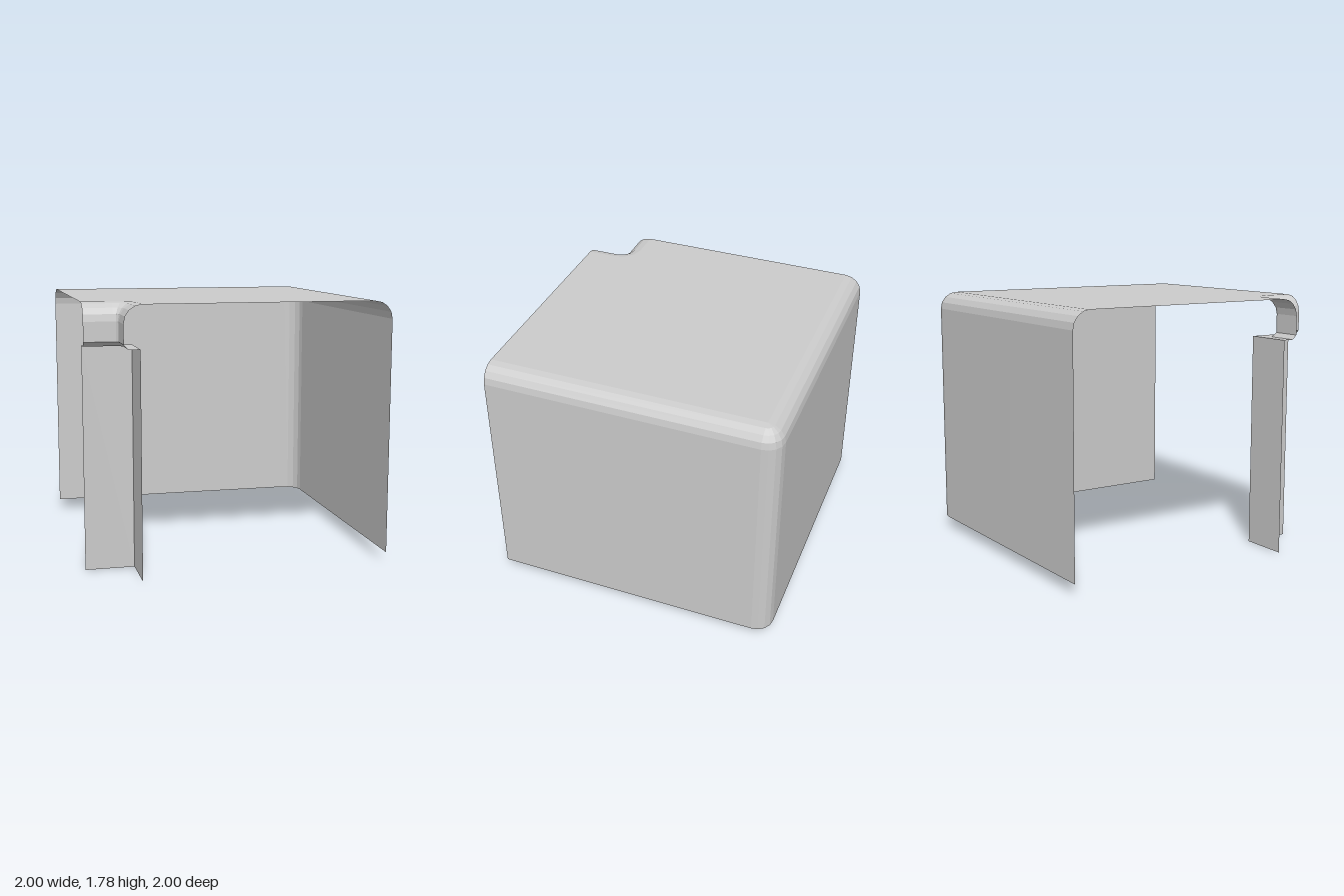
import * as THREE from 'three';

const R = 0.12, TOP = 1.78, BASE = 0.08, STEPS = 4;
const NOTCH = -0.805, NOTCH_R = 0.03; // fillet centre (x, and -z) and radius of the notch corner
const POST = 0.67;

const material = new THREE.MeshStandardMaterial({
  color: 0xcccccc, flatShading: true, side: THREE.DoubleSide,
});

// Quarter round from a vertical wall into the top: [offset, height] pairs
const roundOver = () => Array.from({ length: STEPS + 1 }, (_, i) => {
  const a = (i / STEPS) * Math.PI / 2;
  return [R * (1 - Math.cos(a)), TOP - R + R * Math.sin(a)];
});

// Plan path of the outer walls, pulled inward by d: [x, z] pairs
function outerPath(d) {
  const path = [[1 - d, 1]];
  for (let i = 0; i <= STEPS; i++) {
    const a = (i / STEPS) * Math.PI / 2;
    path.push([1 - R + (R - d) * Math.cos(a), -1 + R - (R - d) * Math.sin(a)]);
  }
  path.push([-1, -1 + d]);
  return path;
}

// Plan path round the notch, pushed into the body by d
function notchPath(d) {
  const path = [[NOTCH + NOTCH_R + d, 1]];
  for (let i = 0; i <= 3; i++) {
    const a = (i / 3) * Math.PI / 2, r = NOTCH_R + d;
    path.push([NOTCH + r * Math.cos(a), -NOTCH - r * Math.sin(a)]);
  }
  path.push([-1, -NOTCH - NOTCH_R - d]);
  return path;
}

// Sharp L-shaped path of the corner post, with the corner repeated n times
const postPath = (n) => [[-POST, 1], ...Array(n).fill([-POST, POST]), [-1, POST]];

// Skin between successive rings, leaving out collapsed triangles
function loft(rings) {
  const pos = [];
  const tri = (...p) => {
    const t = new THREE.Triangle(...p);
    if (t.getArea() > 1e-8) p.forEach((v) => pos.push(v.x, v.y, v.z));
  };
  for (let i = 0; i < rings.length - 1; i++) {
    for (let j = 0; j < rings[i].length - 1; j++) {
      const a = rings[i][j], b = rings[i][j + 1], c = rings[i + 1][j + 1], d = rings[i + 1][j];
      tri(a, b, c);
      tri(a, c, d);
    }
  }
  const geo = new THREE.BufferGeometry();
  geo.setAttribute('position', new THREE.Float32BufferAttribute(pos, 3));
  geo.computeVertexNormals();
  return geo;
}

const ring = (path, y) => path.map(([x, z]) => new THREE.Vector3(x, y, z));

export function createModel() {
  const group = new THREE.Group();
  const add = (name, geo) => {
    const mesh = new THREE.Mesh(geo, material);
    mesh.name = name;
    group.add(mesh);
  };

  // Side and back walls with rounded corner and rounded top edge
  add('outerWalls', loft([[0, BASE], ...roundOver()].map(([d, y]) => ring(outerPath(d), y))));

  // Flat top with the corner cut away
  const outline = [[1 - R, 1], [1 - R, -1 + R], [-1, -1 + R], ...notchPath(R).reverse()];
  const top = new THREE.ShapeGeometry(
    new THREE.Shape(outline.map(([x, z]) => new THREE.Vector2(x, -z))));
  top.rotateX(-Math.PI / 2).translate(0, TOP, 0);
  add('topPanel', top);

  // Notch wall: rounded rim, upright, bevel, then a narrow ledge
  const profile = [[0.03, 1.5], [0, 1.53], ...roundOver()];
  const notchRings = profile.map(([d, y]) => ring(notchPath(d), y));
  add('notchWall', loft([ring(postPath(4), 1.5), ...notchRings]));

  // L-shaped corner post down to the floor
  add('cornerPost', loft([ring(postPath(1), 0), ring(postPath(1), 1.5)]));

  return group;
}
